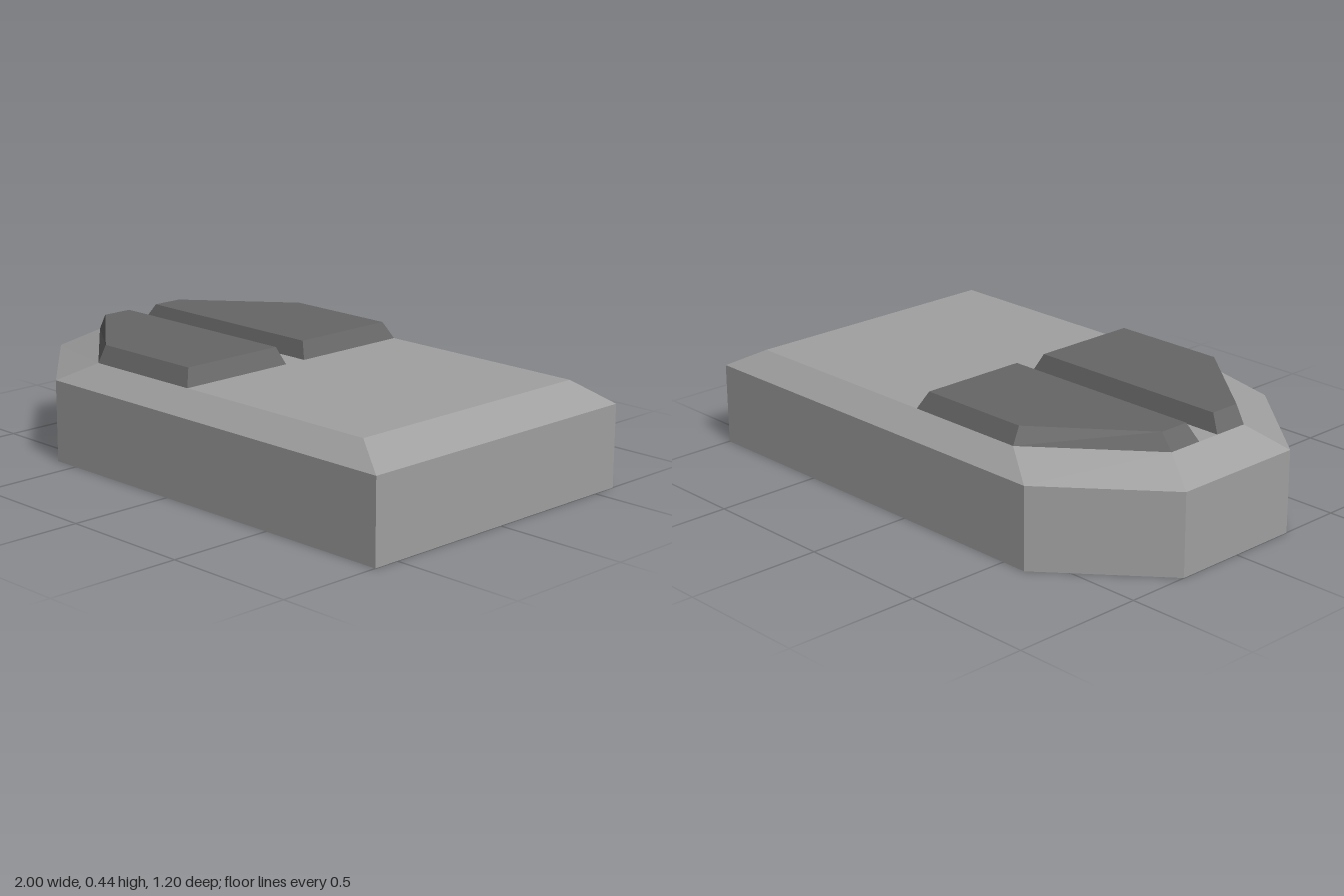
import * as THREE from 'three';

// Solid lofted through stacked outlines: each ring is { y, pts: [[x, z], ...] }
// listed counter-clockwise as seen from above.
function loft(rings) {
  const pos = [];
  const n = rings[0].pts.length;
  const at = (r, i) => [r.pts[i % n][0], r.y, r.pts[i % n][1]];
  const tri = (a, b, c) => pos.push(...a, ...b, ...c);
  for (let k = 0; k < rings.length - 1; k++) {
    const lo = rings[k], hi = rings[k + 1];
    for (let i = 0; i < n; i++) {
      tri(at(lo, i), at(lo, i + 1), at(hi, i + 1));
      tri(at(lo, i), at(hi, i + 1), at(hi, i));
    }
  }
  const bottom = rings[0], top = rings[rings.length - 1];
  for (let i = 1; i < n - 1; i++) {
    tri(at(bottom, 0), at(bottom, i + 1), at(bottom, i));
    tri(at(top, 0), at(top, i), at(top, i + 1));
  }
  const geo = new THREE.BufferGeometry();
  geo.setAttribute('position', new THREE.Float32BufferAttribute(pos, 3));
  geo.computeVertexNormals();
  return geo;
}

// Mirror an outline across z = 0, keeping its winding
const mirrorZ = (pts) => pts.map(([x, z]) => [x, -z]).reverse();

export function createModel() {
  const group = new THREE.Group();
  const lightGrey = new THREE.MeshStandardMaterial({ name: 'lightGrey', color: 0xa0a0a0, flatShading: true });
  const darkGrey = new THREE.MeshStandardMaterial({ name: 'darkGrey', color: 0x666666, flatShading: true });

  const add = (name, geo, mat) => {
    const mesh = new THREE.Mesh(geo, mat);
    mesh.name = name;
    group.add(mesh);
  };

  // Slab body with a tapered nose and a bevelled upper edge
  const half = [[1, -0.6], [-0.6, -0.6], [-1, -0.26]];
  const topHalf = [[0.86, -0.515], [-0.46, -0.515], [-0.86, -0.18]];
  const outline = [...half, ...mirrorZ(half)];
  const topOutline = [...topHalf, ...mirrorZ(topHalf)];
  add('body', loft([
    { y: 0, pts: outline },
    { y: 0.305, pts: outline },
    { y: 0.38, pts: topOutline },
  ]), lightGrey);

  // Pair of raised bevelled panels beside the centre channel
  const base = [[0.02, -0.045], [0.02, -0.515], [-0.46, -0.515], [-0.86, -0.18], [-0.86, -0.045]];
  const crown = [[-0.01, -0.067], [-0.01, -0.483], [-0.455, -0.483], [-0.82, -0.185], [-0.82, -0.067]];
  for (const [name, f] of [['backPanel', (p) => p], ['frontPanel', mirrorZ]]) {
    add(name, loft([{ y: 0.38, pts: f(base) }, { y: 0.442, pts: f(crown) }]), darkGrey);
  }

  return group;
}
